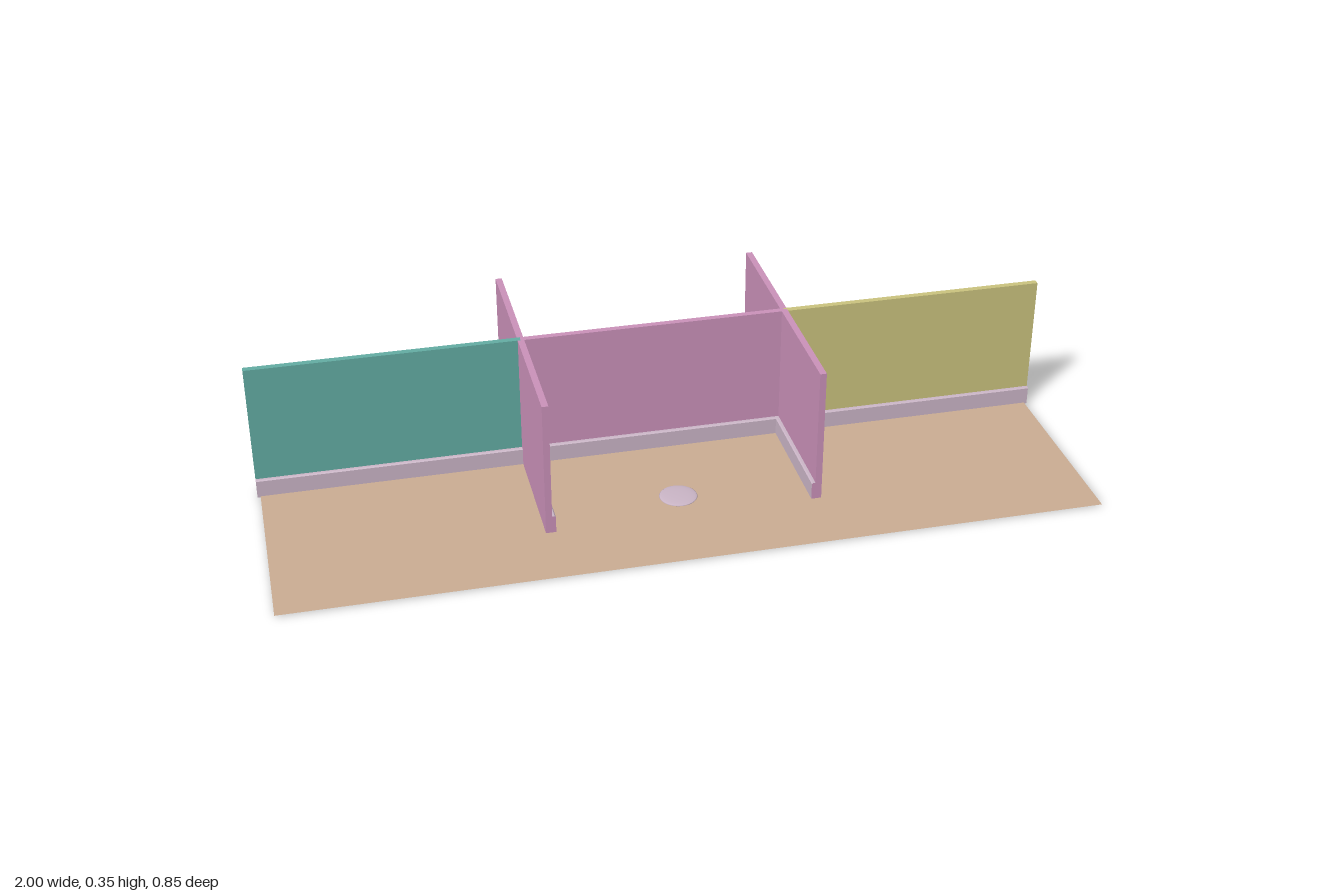
import * as THREE from 'three';

const THICK = 0.016, HEIGHT = 0.35, SKIRT_H = 0.048, SKIRT_D = 0.009;

const mat = (name, color, side = THREE.FrontSide) => {
  const m = new THREE.MeshStandardMaterial({ color, side });
  m.name = name;
  return m;
};

export function createModel() {
  const model = new THREE.Group();
  model.name = 'partitionedRoom';

  const teal = mat('teal', 0x63aca3);
  const pink = mat('pink', 0xca91b9);
  const olive = mat('olive', 0xcac37e);
  const lilac = mat('pale lilac', 0xcab5c6);
  const tan = mat('tan', 0xcaac92, THREE.DoubleSide);

  // Wall running along local x, with a skirting board on its +z face
  function addWall(name, length, material, x, z, turn = 0) {
    const wall = new THREE.Group();
    wall.name = name;

    const panel = new THREE.Mesh(new THREE.BoxGeometry(length, HEIGHT, THICK), material);
    panel.name = name + 'Panel';
    panel.position.y = HEIGHT / 2;

    // Skirting profile with a small bevel; its ends match the wall
    const near = THICK / 2, far = near + SKIRT_D;
    const profile = new THREE.Shape([
      new THREE.Vector2(near, 0),
      new THREE.Vector2(far, 0),
      new THREE.Vector2(far, SKIRT_H - 0.003),
      new THREE.Vector2(far - 0.003, SKIRT_H),
      new THREE.Vector2(near, SKIRT_H),
    ]);
    const geo = new THREE.ExtrudeGeometry(profile, { depth: length, bevelEnabled: false });
    geo.rotateY(-Math.PI / 2).translate(length / 2, 0, 0);
    const skirting = new THREE.Mesh(geo, [material, lilac]);
    skirting.name = name + 'Skirting';

    wall.add(panel, skirting);
    wall.position.set(x, 0, z);
    wall.rotation.y = turn;
    model.add(wall);
  }

  // Back walls, one per bay, split by the two dividers
  const xR = -0.335, xL = 0.33, backZ = -0.094;
  const bays = [
    ['rightBackWall', -1, xR, teal],
    ['middleBackWall', xR, xL, pink],
    ['leftBackWall', xL, 1, olive],
  ];
  for (const [name, a, b, m] of bays) addWall(name, b - a, m, (a + b) / 2, backZ);

  // Dividers crossing the back wall, skirting facing the middle bay
  addWall('rightDivider', 0.665, pink, xR, -0.0925, Math.PI / 2);
  addWall('leftDivider', 0.665, pink, xL, -0.0925, -Math.PI / 2);

  // Thin floor sheet in front of the back wall
  const floor = new THREE.Mesh(new THREE.PlaneGeometry(1.985, 0.512), tan);
  floor.name = 'floor';
  floor.rotation.x = -Math.PI / 2;
  floor.position.set(0, 0.003, 0.169);
  model.add(floor);

  // Flat round drain cover set through the floor
  const drain = new THREE.Mesh(new THREE.SphereGeometry(0.047, 32, 12), lilac);
  drain.name = 'drainCover';
  drain.scale.y = 0.09;
  drain.position.set(0, 0.0043, 0.155);
  model.add(drain);

  return model;
}
